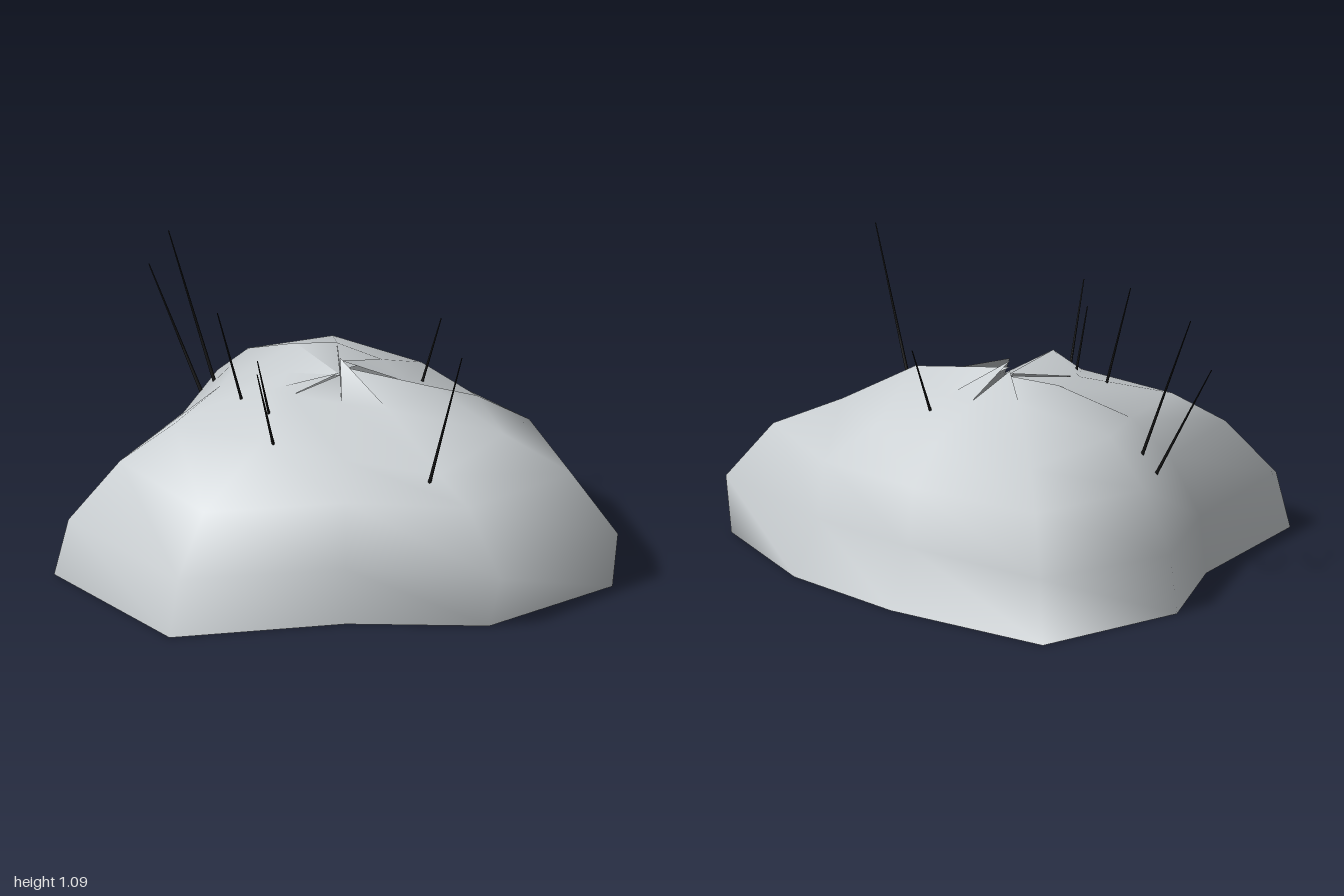
import * as THREE from 'three';

const CENTRE = [-0.08, 0.01];

// Widest outline, one [x, z] point per spoke, running from +x towards +z
const OUTLINE = [
  [0.98, 0.01], [0.71, 0.5], [0.15, 0.62], [-0.43, 0.935], [-1, 0.58],
  [-0.83, 0], [-0.84, -0.47], [-0.45, -0.94], [0.19, -0.7], [0.63, -0.42],
];

// Rings from the ground up: reach is the share of the outline, one value per spoke or one for all
const RINGS = [
  { reach: [1, 0.93, 1, 1, 1, 1, 1, 1, 1, 1], height: 0 },
  { reach: [1.02, 1, 0.98, 0.95, 0.95, 0.97, 0.96, 0.89, 0.86, 0.89], height: 0.22 },
  { reach: [0.85, 0.8, 0.82, 0.8, 0.77, 0.82, 0.8, 0.79, 0.81, 0.86], height: 0.44 },
  {
    reach: [0.6, 0.62, 0.58, 0.46, 0.58, 0.62, 0.6, 0.61, 0.62, 0.62],
    height: [0.56, 0.51, 0.54, 0.6, 0.57, 0.58, 0.6, 0.55, 0.57, 0.56],
  },
  {
    reach: [0.34, 0.3, 0.24, 0.28, 0.25, 0.28, 0.29, 0.28, 0.32, 0.3],
    height: [0.71, 0.665, 0.66, 0.725, 0.67, 0.675, 0.73, 0.69, 0.67, 0.645],
  },
];

// The summit is broken: each top facet ends at its own height
const SUMMIT = [0.735, 0.77, 0.7, 0.71, 0.7, 0.7, 0.7, 0.72, 0.76, 0.735];

// Each spine: where it leaves the shell, its tip, and how deep its root goes
const SPINES = [
  [[-0.72, 0.5, -0.2], [-0.92, 0.89, -0.27], 0.18],
  [[-0.64, 0.53, -0.17], [-0.83, 1.06, -0.23], 0.18],
  [[-0.4, 0.64, 0.2], [-0.48, 1, 0.24], 0.29],
  [[-0.265, 0.68, 0.3], [-0.29, 0.88, 0.34], 0.31],
  [[-0.2, 0.585, 0.42], [-0.23, 0.92, 0.52], 0.24],
  [[0.17, 0.62, -0.2], [0.225, 0.86, -0.25], 0.2],
  [[0.385, 0.5, 0.35], [0.55, 1.09, 0.47], 0.16],
];

const at = (value, j) => (Array.isArray(value) ? value[j] : value);

function shellGeometry() {
  const n = OUTLINE.length;
  const positions = [];
  const index = [];
  for (const { reach, height } of RINGS) {
    OUTLINE.forEach(([x, z], j) => {
      const r = at(reach, j);
      positions.push(CENTRE[0] + (x - CENTRE[0]) * r, at(height, j), CENTRE[1] + (z - CENTRE[1]) * r);
    });
  }
  SUMMIT.forEach((y) => positions.push(CENTRE[0], y, CENTRE[1]));
  for (let i = 0; i < RINGS.length; i++) {
    for (let j = 0; j < n; j++) {
      const a = i * n + j;
      const b = i * n + ((j + 1) % n);
      if (i === RINGS.length - 1) index.push(a, a + n, b);
      else index.push(a, a + n, b + n, a, b + n, b);
    }
  }
  const geometry = new THREE.BufferGeometry();
  geometry.setAttribute('position', new THREE.Float32BufferAttribute(positions, 3));
  geometry.setIndex(index);
  geometry.computeVertexNormals();
  return geometry;
}

// Thin tapered needle with its root sunk through the shell
function makeSpine([base, tip, depth], material) {
  const end = new THREE.Vector3(...tip);
  const direction = end.clone().sub(new THREE.Vector3(...base)).normalize();
  const root = new THREE.Vector3(...base).addScaledVector(direction, -depth);
  const mesh = new THREE.Mesh(
    new THREE.CylinderGeometry(0.002, 0.008, root.distanceTo(end), 6), material);
  mesh.position.copy(root).lerp(end, 0.5);
  mesh.quaternion.setFromUnitVectors(new THREE.Vector3(0, 1, 0), direction);
  return mesh;
}

export function createModel() {
  const stone = new THREE.MeshStandardMaterial({ color: 0xcbd0d3, side: THREE.DoubleSide });
  stone.name = 'pale grey stone';
  const dark = new THREE.MeshStandardMaterial({ color: 0x151515 });
  dark.name = 'dark spine';

  const model = new THREE.Group();
  model.name = 'spinyMound';

  // Hollow mound, open underneath
  const shell = new THREE.Mesh(shellGeometry(), stone);
  shell.name = 'shell';
  model.add(shell);

  // Scattered spines
  const spines = new THREE.Group();
  spines.name = 'spines';
  SPINES.forEach((points, i) => {
    const spine = makeSpine(points, dark);
    spine.name = `spine${i + 1}`;
    spines.add(spine);
  });
  model.add(spines);
  return model;
}
